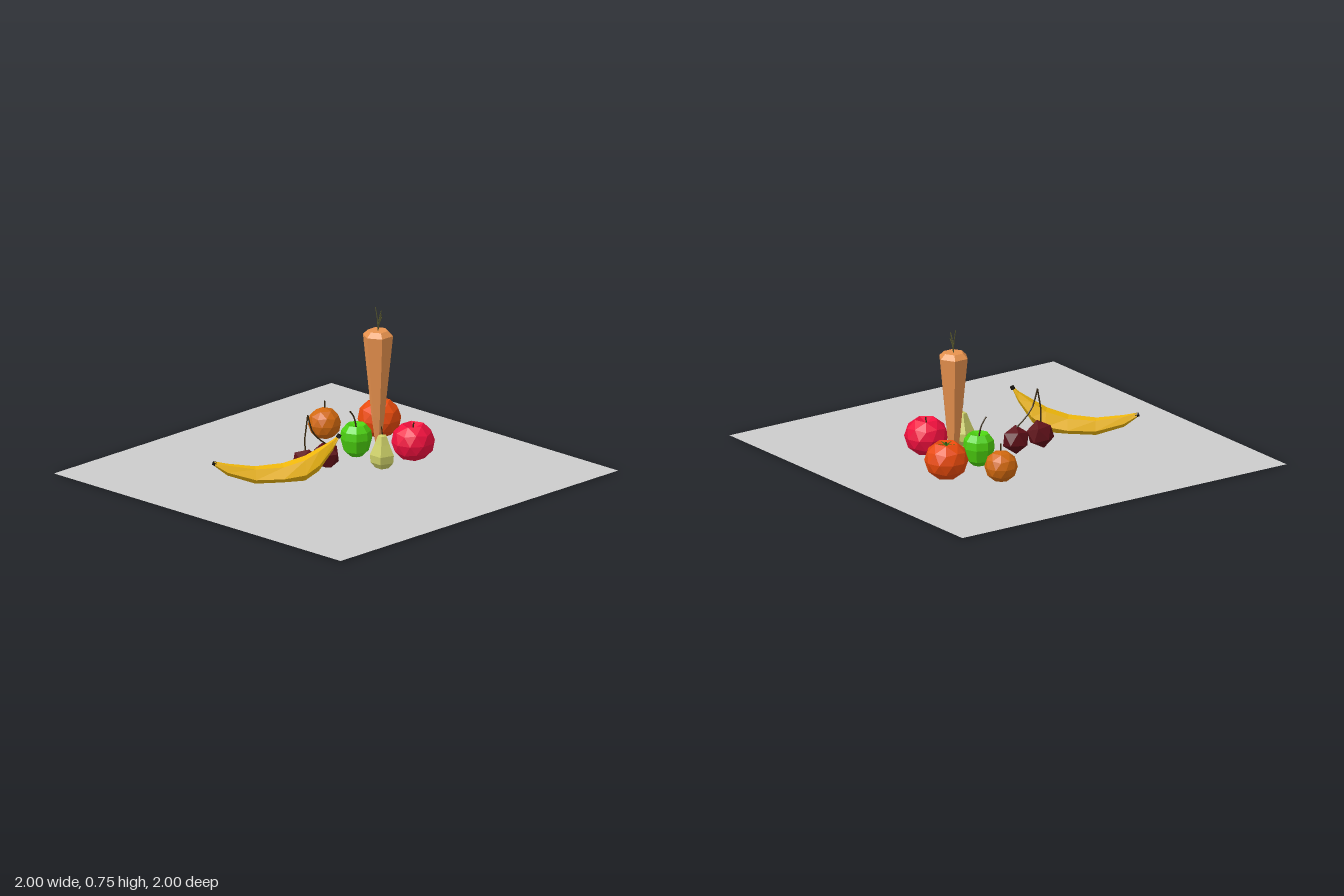
import * as THREE from 'three';

const mat = (color, side = THREE.FrontSide) =>
  new THREE.MeshStandardMaterial({ color, flatShading: true, side });

const STEM = 0x3a2a12;
const V = (p) => new THREE.Vector3(...p);

function add(parent, name, geometry, material, pos = [0, 0, 0]) {
  const mesh = new THREE.Mesh(geometry, material);
  mesh.name = name;
  mesh.position.set(...pos);
  parent.add(mesh);
  return mesh;
}

function fruitGroup(root, name, x, z) {
  const g = new THREE.Group();
  g.name = name;
  g.position.set(x, 0, z);
  root.add(g);
  return g;
}

// Thin bent stem through a few points
function stem(parent, name, points, radius = 0.004, color = STEM) {
  const curve = new THREE.CatmullRomCurve3(points.map(V));
  add(parent, name, new THREE.TubeGeometry(curve, 5, radius, 5), mat(color, THREE.DoubleSide));
}

// Faceted ball with a corner at the top, which may be sunk into a dimple
function ball(rx, ry, detail, dimple = 0) {
  const g = new THREE.IcosahedronGeometry(1, detail);
  g.rotateZ(-Math.atan(2 / (1 + Math.sqrt(5))));
  const p = g.attributes.position;
  for (let i = 0; i < p.count; i++) {
    if (p.getY(i) > 0.99) p.setY(i, 1 - dimple);
  }
  return g.scale(rx, ry, rx);
}

function lathe(profile, sides) {
  return new THREE.LatheGeometry(profile.map(([r, y]) => new THREE.Vector2(r, y)), sides);
}

function addBanana(root) {
  const g = fruitGroup(root, 'banana', 0.155, 0.14);
  const along = V([-0.65, 0, 0.76]);
  const across = V([0.76, 0, 0.65]);
  // distance along, centre height, half width, half height
  const sections = [
    [0.00, 0.262, 0.010, 0.010], [0.03, 0.218, 0.018, 0.030],
    [0.10, 0.145, 0.045, 0.062], [0.17, 0.100, 0.059, 0.066],
    [0.28, 0.078, 0.060, 0.050], [0.42, 0.072, 0.045, 0.046],
    [0.56, 0.105, 0.026, 0.032], [0.625, 0.137, 0.012, 0.013],
  ];
  const sides = 5, pos = [], index = [];
  sections.forEach(([t, y, w, h], i) => {
    for (let j = 0; j < sides; j++) {
      const a = -Math.PI / 2 + (j / sides) * Math.PI * 2;
      const p = along.clone().multiplyScalar(t).addScaledVector(across, w * Math.cos(a));
      pos.push(p.x, y + h * Math.sin(a), p.z);
      if (i < sections.length - 1) {
        const k = i * sides, n = (j + 1) % sides;
        const b = k + n, c = k + sides + j, d = k + sides + n;
        index.push(k + j, b, c, b, d, c);
      }
    }
  });
  const geo = new THREE.BufferGeometry();
  geo.setAttribute('position', new THREE.Float32BufferAttribute(pos, 3));
  geo.setIndex(index);
  geo.computeVertexNormals();
  add(g, 'bananaPeel', geo, mat(0xf0b80c));

  // Dark ends
  [[0, 0.264, -0.5, 1], [0.626, 0.138, 1, 0.35]].forEach(([t, y, out, up]) => {
    const dir = along.clone().multiplyScalar(out).add(V([0, up, 0])).normalize();
    const p = along.clone().multiplyScalar(t);
    const tip = add(g, 'bananaTip', new THREE.CylinderGeometry(0.011, 0.012, 0.018, 5),
      mat(0x15120c), [p.x, y, p.z]);
    tip.quaternion.setFromUnitVectors(V([0, 1, 0]), dir);
  });
}

export function createModel() {
  const root = new THREE.Group();
  root.name = 'fruitDisplay';

  // Ground sheet
  add(root, 'groundSheet', new THREE.PlaneGeometry(2, 2).rotateX(-Math.PI / 2),
    mat(0xcccccc, THREE.DoubleSide), [0, 0.005, 0]);

  // Orange
  const orange = fruitGroup(root, 'orange', -0.4, -0.33);
  add(orange, 'orangeBody', ball(0.084, 0.083, 1), mat(0xd2690f), [0, 0.092, 0]);
  stem(orange, 'orangeStem', [[0, 0.165, 0], [0.001, 0.19, 0], [0.004, 0.21, 0.002]]);

  // Tomato with a star of leaves
  const tomato = fruitGroup(root, 'tomato', -0.215, -0.535);
  add(tomato, 'tomatoBody', ball(0.111, 0.104, 1, 0.3), mat(0xe84a0c), [0, 0.115, 0]);
  for (let i = 0; i < 5; i++) {
    const leaf = add(tomato, 'tomatoLeaf', new THREE.ConeGeometry(0.008, 0.052, 4)
      .scale(1, 1, 0.3).rotateX(Math.PI / 2).translate(0, 0, 0.026),
      mat(0x2f6a10), [0, 0.193, 0]);
    leaf.rotation.set(-0.2, (i / 5) * Math.PI * 2 + 0.3, 0, 'YXZ');
  }
  stem(tomato, 'tomatoStem', [[0, 0.185, 0], [0, 0.2, 0], [0.003, 0.208, 0]], 0.005, 0x2f4a10);

  // Red apple
  const apple = fruitGroup(root, 'redApple', 0.16, -0.39);
  add(apple, 'redAppleBody', ball(0.111, 0.103, 1, 0.38), mat(0xf0103e), [0, 0.113, 0]);
  stem(apple, 'redAppleStem', [[0, 0.165, 0], [0, 0.19, 0], [0.005, 0.21, 0]]);

  // Green apple
  const green = fruitGroup(root, 'greenApple', -0.108, -0.257);
  add(green, 'greenAppleBody', lathe([[0, 0], [0.035, 0.008], [0.063, 0.035], [0.08, 0.1],
    [0.076, 0.14], [0.05, 0.172], [0, 0.155]], 8), mat(0x4cd010));
  stem(green, 'greenAppleStem', [[0, 0.155, 0], [0.001, 0.2, 0.012], [0, 0.225, 0.024],
    [0.002, 0.25, 0.047]]);

  // Pear
  const pear = fruitGroup(root, 'pear', 0.157, -0.172);
  add(pear, 'pearBody', lathe([[0, 0.02], [0.035, 0.025], [0.06, 0.055], [0.064, 0.095],
    [0.04, 0.15], [0.024, 0.192], [0, 0.2]], 5), mat(0xcdd068)).rotation.y = Math.PI;
  stem(pear, 'pearStem', [[0, 0.19, 0], [0, 0.215, 0.002], [-0.003, 0.24, 0.004]], 0.003);

  // Pair of cherries joined at the stems
  const cherries = fruitGroup(root, 'cherries', -0.067, 0);
  [[0, 0.4], [0.152, -0.3]].forEach(([z, turn]) => {
    const c = add(cherries, 'cherry', new THREE.IcosahedronGeometry(0.073, 0),
      mat(0x5e1018), [0, 0.078, z]);
    c.rotation.set(turn, turn * 2, 0.2);
  });
  stem(cherries, 'cherryStem', [[0, 0.14, 0.005], [0, 0.165, 0.04], [0, 0.225, 0.1],
    [-0.002, 0.32, 0.132]]);
  stem(cherries, 'cherryStem', [[0, 0.14, 0.152], [0, 0.2, 0.155], [0, 0.255, 0.146],
    [-0.002, 0.32, 0.132]]);

  // Carrot standing on its point
  const carrot = fruitGroup(root, 'carrot', -0.107, -0.413);
  add(carrot, 'carrotRoot', lathe([[0, 0], [0.014, 0.03], [0.034, 0.18], [0.078, 0.605],
    [0.052, 0.63], [0, 0.63]], 6), mat(0xe8924e));
  [[0.018, 0.7, -0.008], [0.03, 0.72, 0.006], [-0.014, 0.75, 0.004], [0.012, 0.735, -0.012]]
    .forEach(([x, y, z]) => {
      stem(carrot, 'carrotTwig', [[0, 0.62, 0], [x * 0.2, (0.62 + y) / 2, z * 0.3], [x, y, z]],
        0.0025, 0x55552c);
    });

  addBanana(root);
  return root;
}
